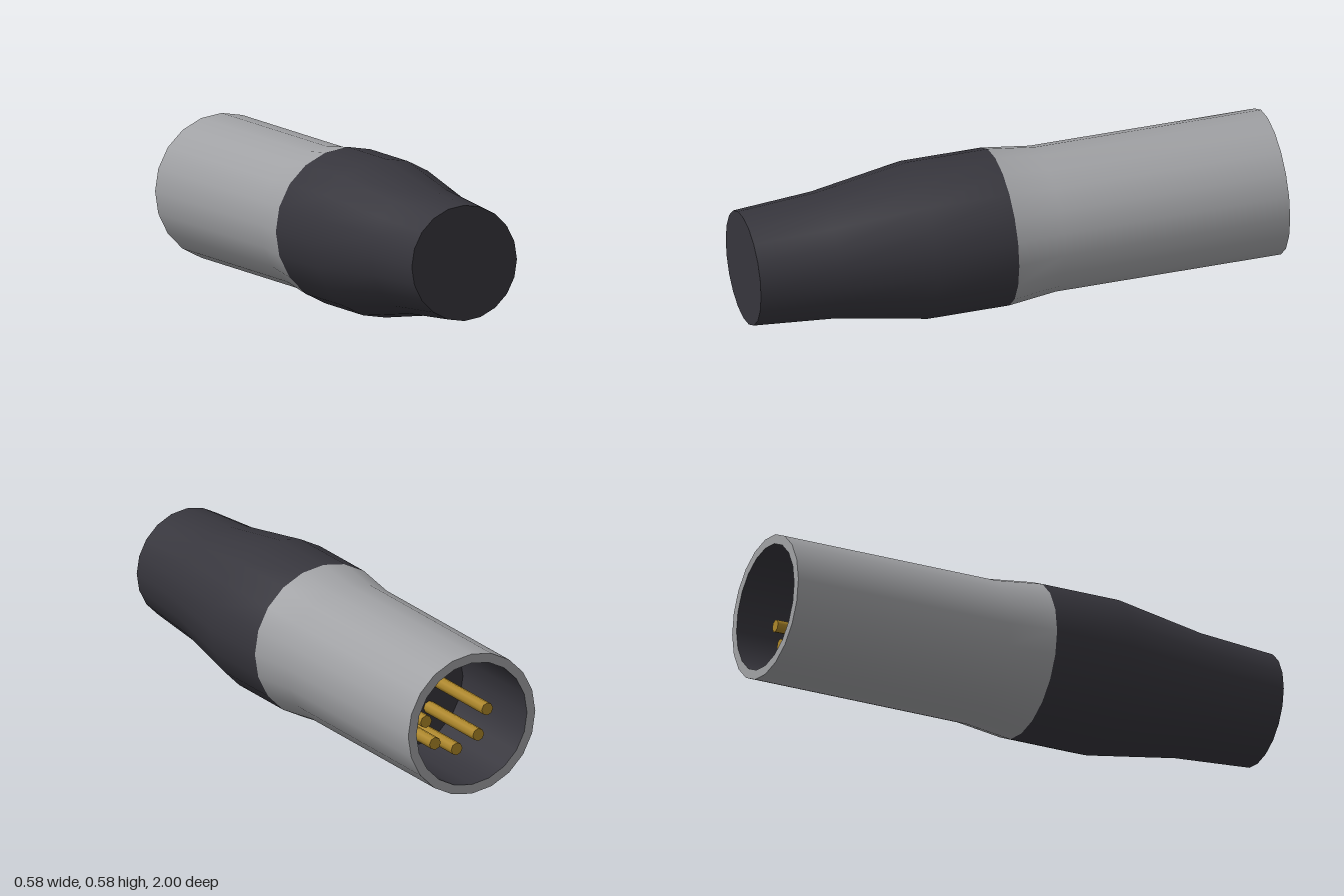
import * as THREE from 'three';

const SIDES = 20;
const AXIS_Y = 0.292;

const mat = (name, color) => {
  const m = new THREE.MeshStandardMaterial({ color });
  m.name = name;
  return m;
};

export function createModel() {
  const rubber = mat('darkRubber', 0x36353c);
  const metal = mat('greyMetal', 0xa0a1a4);
  const gold = mat('goldPins', 0xac8629);

  const model = new THREE.Group();
  model.name = 'cableConnector';
  model.position.y = AXIS_Y;

  // Surface of revolution about z from [radius, z] points
  const turned = (name, material, profile) => {
    const geo = new THREE.LatheGeometry(profile.map(([r, z]) => new THREE.Vector2(r, z)), SIDES);
    geo.rotateX(Math.PI / 2);
    const mesh = new THREE.Mesh(geo, material);
    mesh.name = name;
    model.add(mesh);
  };

  // Tapered rubber boot and its flat end
  turned('boot', rubber, [[0.292, 0.04], [0.292, 0.35], [0.235, 0.7], [0.213, 1]]);
  turned('bootEnd', rubber, [[0.213, 1], [0, 1]]);

  // Metal barrel with a flat rim
  turned('barrel', metal, [[0.27, -1], [0.27, -0.14], [0.292, 0.04]]);
  turned('barrelRim', metal, [[0.235, -1], [0.27, -1]]);

  // Dark socket lining and floor
  turned('socketWall', rubber, [[0.235, -0.55], [0.235, -1]]);
  turned('socketFloor', rubber, [[0, -0.55], [0.235, -0.55]]);

  // Five contact pins in a half circle along the lower side
  const pinGeo = new THREE.CylinderGeometry(0.024, 0.024, 0.36, 8).rotateX(Math.PI / 2);
  for (let i = 0; i < 5; i++) {
    const a = -i * Math.PI / 4;
    const pin = new THREE.Mesh(pinGeo, gold);
    pin.name = `pin${i + 1}`;
    pin.position.set(0.13 * Math.cos(a), 0.13 * Math.sin(a), -0.715);
    model.add(pin);
  }

  const root = new THREE.Group();
  root.add(model);
  return root;
}
